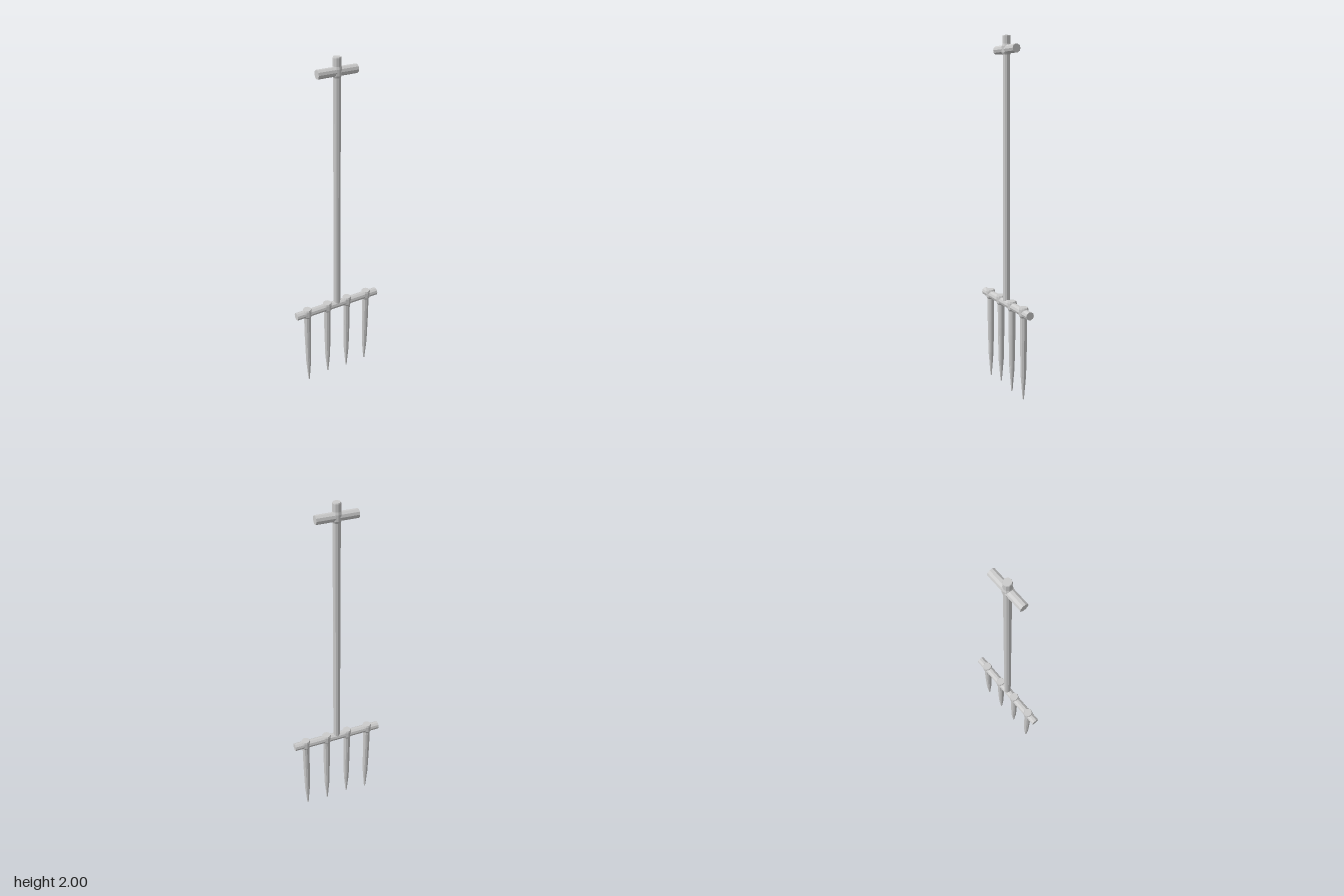
import * as THREE from 'three';

const SIDES = 10;
const material = new THREE.MeshStandardMaterial({ color: 0xcccccc, flatShading: true });

// Faceted round part from [radius, y] pairs, listed bottom to top
function turned(name, profile) {
  const points = profile.map(([r, y]) => new THREE.Vector2(r, y));
  const mesh = new THREE.Mesh(new THREE.LatheGeometry(points, SIDES), material);
  mesh.name = name;
  return mesh;
}

// Horizontal rod along x
function rod(name, length, radius, y) {
  const geometry = new THREE.CylinderGeometry(radius, radius, length, SIDES);
  geometry.rotateZ(Math.PI / 2);
  const mesh = new THREE.Mesh(geometry, material);
  mesh.name = name;
  mesh.position.y = y;
  return mesh;
}

export function createModel() {
  const group = new THREE.Group();
  group.name = 'gardenFork';

  // Long shaft with a slight swelling where the grip passes through
  group.add(turned('shaft', [
    [0, 0.51], [0.02, 0.51], [0.02, 1.898], [0.026, 1.91],
    [0.026, 1.942], [0.022, 1.955], [0.022, 1.995], [0.02, 2], [0, 2],
  ]));

  // Hand grip and the bar that carries the tines
  group.add(rod('grip', 0.222, 0.0235, 1.927));
  group.add(rod('tineBar', 0.536, 0.0235, 0.517));

  // Four tapered tines with chamfered heads, tips at slightly uneven heights
  const tips = [0, 0.014, 0.004, 0.009];
  tips.forEach((tip, i) => {
    const tine = turned('tine', [
      [0, tip], [0.004, tip + 0.004], [0.0155, 0.15], [0.0195, 0.35], [0.02, 0.49],
      [0.027, 0.502], [0.027, 0.538], [0.0235, 0.548], [0, 0.548],
    ]);
    tine.position.x = -0.198 + i * 0.132;
    group.add(tine);
  });

  return group;
}
